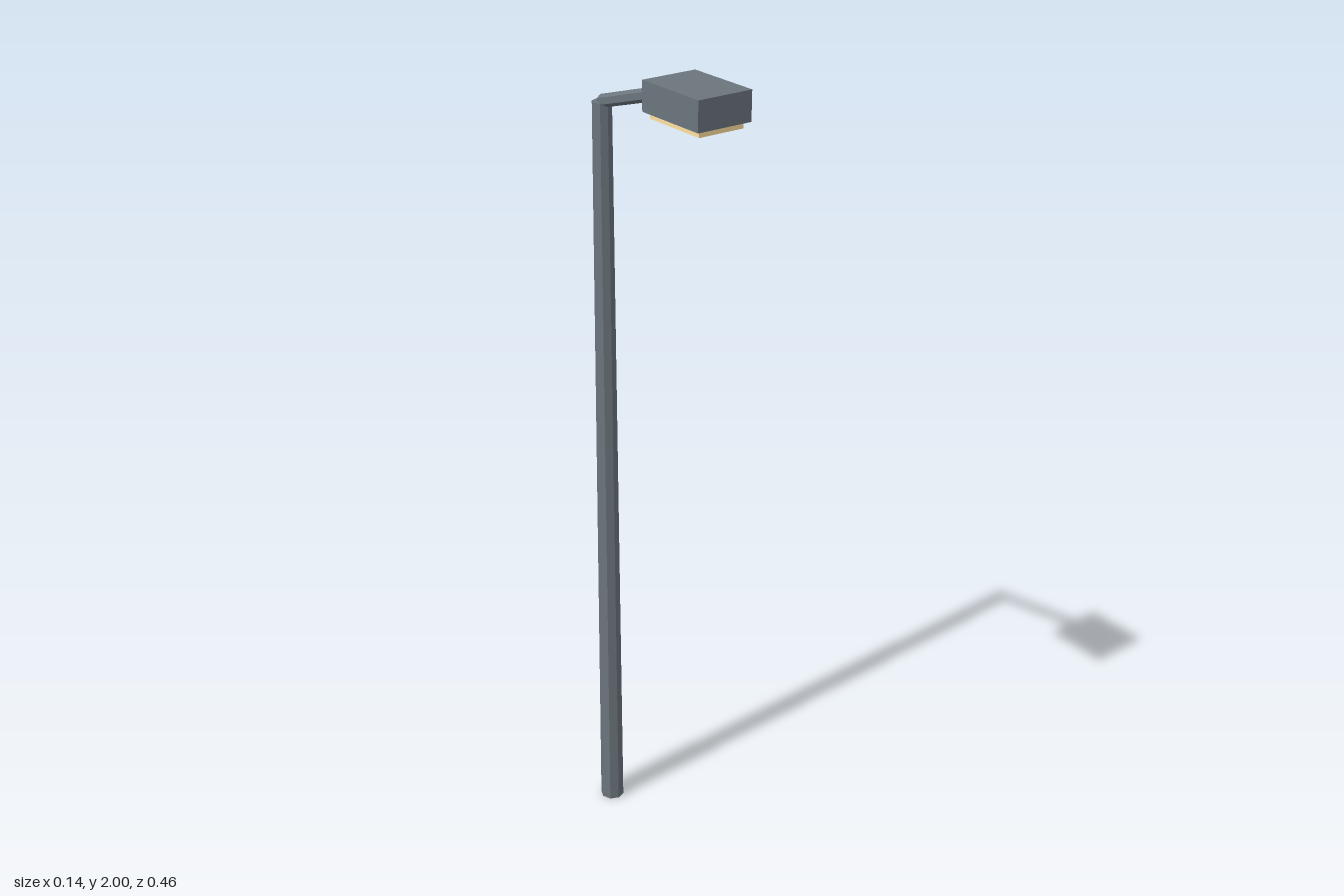
import * as THREE from 'three';

export function createModel() {
  const model = new THREE.Group();
  model.name = 'streetLamp';
  const steel = new THREE.MeshStandardMaterial({ color: 0x6c757d, flatShading: true });
  const glow = new THREE.MeshStandardMaterial({ color: 0xffe0a0, flatShading: true });

  const add = (name, geometry, material, y, z) => {
    const mesh = new THREE.Mesh(geometry, material);
    mesh.name = name;
    mesh.position.set(0, y, z);
    model.add(mesh);
    return mesh;
  };

  // Tapered octagonal pole
  const poleZ = -0.202, poleTop = 1.89;
  add('pole', new THREE.CylinderGeometry(0.0225, 0.03, poleTop, 8), steel, poleTop / 2, poleZ);

  // Hexagonal arm rising from the pole top into the lamp head
  const rise = 0.079, reach = 0.262;
  const arm = add('arm', new THREE.CylinderGeometry(0.015, 0.015, Math.hypot(rise, reach), 6),
    steel, poleTop + rise / 2, poleZ + reach / 2);
  arm.rotation.x = Math.atan2(reach, rise);

  // Lamp head with the light panel beneath it
  const headZ = 0.137;
  add('lampHead', new THREE.BoxGeometry(0.135, 0.066, 0.188), steel, 1.967, headZ);
  add('lightPanel', new THREE.BoxGeometry(0.112, 0.02, 0.166), glow, 1.93, headZ);

  return model;
}
